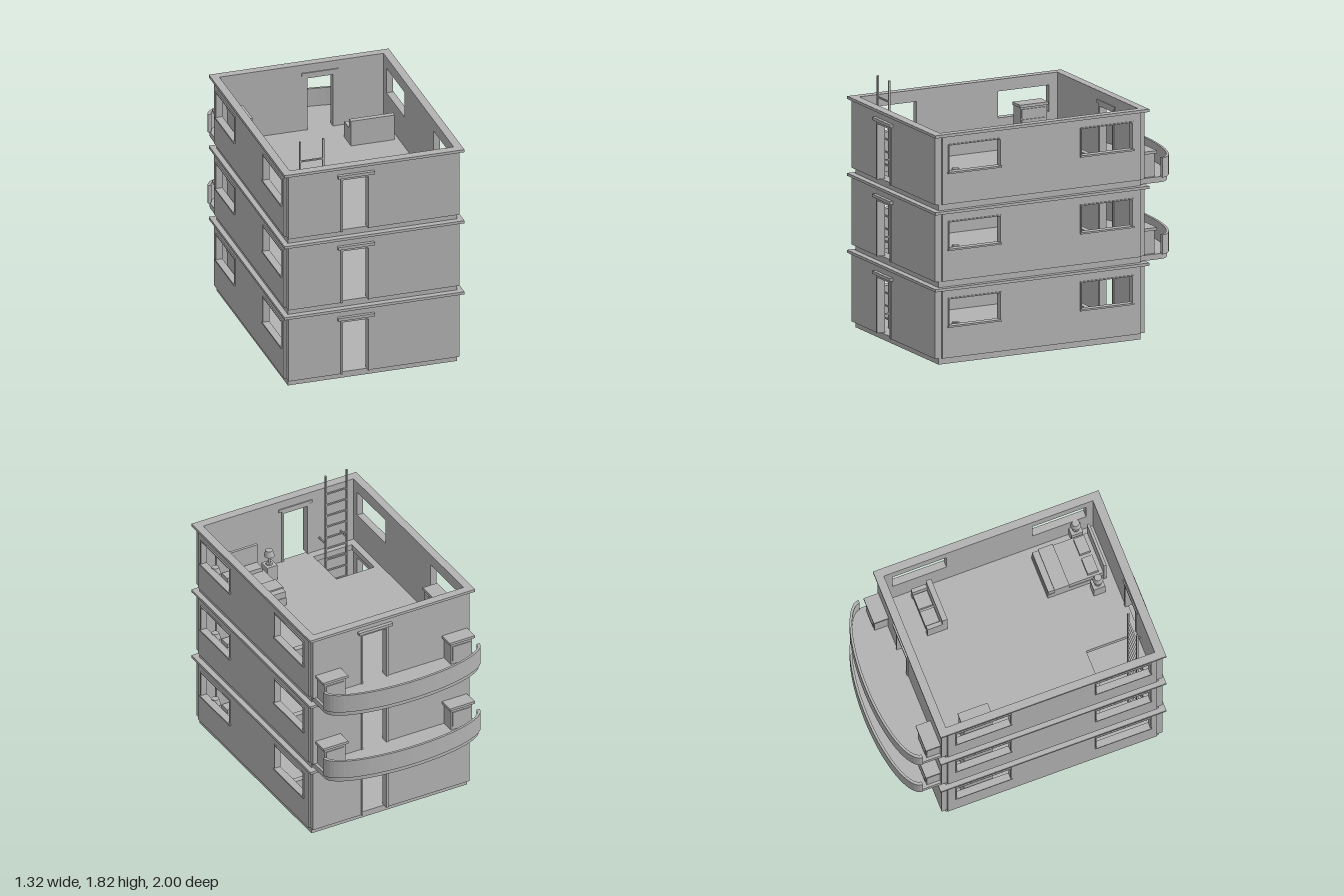
import * as THREE from 'three';

const grey = new THREE.MeshStandardMaterial({ color: 0xb3b3b3 });
grey.name = 'plain grey';

function add(parent, name, geometry) {
  const m = new THREE.Mesh(geometry, grey);
  m.name = name;
  parent.add(m);
  return m;
}

// Box given by its minimum and maximum on each axis
function box(parent, name, x0, x1, y0, y1, z0, z1) {
  const m = add(parent, name, new THREE.BoxGeometry(x1 - x0, y1 - y0, z1 - z0));
  m.position.set((x0 + x1) / 2, (y0 + y1) / 2, (z0 + z1) / 2);
  return m;
}

function group(parent, name) {
  const g = new THREE.Group();
  g.name = name;
  parent.add(g);
  return g;
}

function rect(T, x0, x1, y0, y1) {
  const p = new T();
  p.moveTo(x0, y0).lineTo(x1, y0).lineTo(x1, y1).lineTo(x0, y1).closePath();
  return p;
}

// Plate with rectangular holes, extruded along +z
function plate(outer, holes, depth) {
  const s = rect(THREE.Shape, ...outer);
  holes.forEach(h => s.holes.push(rect(THREE.Path, ...h)));
  return new THREE.ExtrudeGeometry(s, { depth, bevelEnabled: false });
}

const FLOOR = 0.045, TOP = 0.53, STOREY = 0.55;
const WINDOWS = [[0.475, 0.875], [-0.565, -0.165]];
const SILL = 0.275, HEAD = 0.465;

// Front or back wall with a doorway; the door sits at negative local x
function doorWall(parent, name, depth) {
  const g = group(parent, name);
  const s = new THREE.Shape();
  [[-0.625, FLOOR], [-0.23, FLOOR], [-0.23, 0.445], [-0.043, 0.445], [-0.043, FLOOR],
    [0.625, FLOOR], [0.625, TOP], [-0.625, TOP]].forEach((p, i) => i ? s.lineTo(...p) : s.moveTo(...p));
  s.closePath();
  add(g, 'wall', new THREE.ExtrudeGeometry(s, { depth, bevelEnabled: false }));
  box(g, 'doorJamb', -0.243, -0.23, FLOOR, 0.465, -0.006, depth + 0.008);
  box(g, 'doorJamb', -0.043, -0.024, FLOOR, 0.465, -0.006, depth + 0.008);
  box(g, 'doorHead', -0.23, -0.043, 0.445, 0.465, -0.006, depth + 0.008);
  box(g, 'lintel', -0.268, 0, 0.465, 0.487, -0.008, depth + 0.025);
  return g;
}

// Side wall with two windows; thickness runs outward along local +z
function sideWall(parent, side) {
  const g = group(parent, side > 0 ? 'leftWall' : 'rightWall');
  const spans = WINDOWS.map(([a, b]) => side > 0 ? [-b, -a] : [a, b]);
  const ends = side > 0 ? [-0.925, 0.63] : [-0.63, 0.925];
  const holes = spans.map(([a, b]) => [a, b, SILL, HEAD]);
  add(g, 'wall', plate([...ends, FLOOR, TOP], holes, 0.04));
  spans.forEach(([a, b]) => {
    const frame = add(g, 'windowFrame', plate(
      [a - 0.008, b + 0.008, SILL - 0.008, HEAD + 0.008], [[a, b, SILL, HEAD]], 0.008));
    frame.position.z = 0.04;
    box(g, 'windowSill', a - 0.01, b + 0.01, SILL - 0.012, SILL, 0.035, 0.053);
  });
  g.position.x = side * 0.6;
  g.rotation.y = side * Math.PI / 2;
}

function bed(parent) {
  const g = group(parent, 'bed');
  box(g, 'bedBase', 0.21, 0.53, 0, 0.06, 0.44, 0.86);
  box(g, 'mattress', 0.213, 0.527, 0.06, 0.11, 0.445, 0.855);
  box(g, 'blanket', 0.207, 0.533, 0.05, 0.12, 0.49, 0.6);
  box(g, 'headboard', 0.205, 0.535, 0, 0.26, 0.855, 0.875);
  for (const x of [0.23, 0.385]) box(g, 'pillow', x, x + 0.125, 0.11, 0.14, 0.745, 0.825);
}

function nightstand(parent, x) {
  const g = group(parent, 'nightstand');
  box(g, 'cabinet', x - 0.04, x + 0.04, 0, 0.12, 0.745, 0.83);
  const parts = [['lampFoot', 0.022, 0.025, 0.01, 0.125], ['lampStem', 0.009, 0.009, 0.07, 0.16],
    ['lampShade', 0.026, 0.038, 0.045, 0.2125]];
  for (const [name, r0, r1, h, y] of parts)
    add(g, name, new THREE.CylinderGeometry(r0, r1, h, 16)).position.set(x, y, 0.79);
}

function bookcase(parent) {
  const g = group(parent, 'bookcase');
  box(g, 'carcass', -0.59, -0.485, 0, 0.315, -0.49, -0.28);
  box(g, 'bookcaseTop', -0.592, -0.475, 0.315, 0.335, -0.495, -0.272);
  for (let i = 0; i < 4; i++) {
    const y = 0.012 + i * 0.075;
    box(g, 'drawerFront', -0.485, -0.477, y, y + 0.065, -0.482, -0.288);
  }
}

function sofa(parent) {
  const g = group(parent, 'sofa');
  box(g, 'sofaBase', 0.255, 0.565, 0.01, 0.07, -0.435, -0.295);
  box(g, 'sofaBack', 0.25, 0.57, 0, 0.19, -0.33, -0.29);
  for (const x of [0.25, 0.543]) box(g, 'armrest', x, x + 0.03, 0, 0.12, -0.44, -0.33);
  for (const x of [0.29, 0.422]) box(g, 'cushion', x, x + 0.112, 0.07, 0.095, -0.44, -0.335);
}

function ladder(parent) {
  const g = group(parent, 'ladder');
  for (const x of [-0.495, -0.325]) {
    box(g, 'ladderRail', x - 0.006, x + 0.006, 0, 0.67, 0.828, 0.842);
    box(g, 'wallBracket', x - 0.005, x + 0.005, 0.1, 0.11, 0.842, 0.925);
  }
  for (let y = 0.06; y < 0.55; y += 0.0915)
    box(g, 'rung', -0.49, -0.33, y - 0.005, y + 0.005, 0.829, 0.841);
}

// Half ellipse bulging towards the back, as x and -z
function arc(a, b, n = 32) {
  return Array.from({ length: n + 1 }, (_, i) => {
    const t = Math.PI * i / n;
    return new THREE.Vector2(a * Math.cos(t), 0.81 + b * Math.sin(t));
  });
}

function flat(parent, name, points, y0, y1) {
  const geo = new THREE.ExtrudeGeometry(new THREE.Shape(points), { depth: y1 - y0, bevelEnabled: false });
  const m = add(parent, name, geo.rotateX(-Math.PI / 2));
  m.position.y = y0;
}

function balcony(parent) {
  const g = group(parent, 'balcony');
  const V = (x, y) => new THREE.Vector2(x, y);
  flat(g, 'balconySlab', [V(0.61, 0.64), ...arc(0.61, 0.175), V(-0.61, 0.64)], 0.005, FLOOR);
  flat(g, 'parapet', [...arc(0.625, 0.19), ...arc(0.6, 0.172).reverse()], 0.04, 0.18);
  // Planter cabinets either side of the door
  for (const s of [-1, 1]) {
    const c = group(g, 'balconyCabinet');
    c.position.x = s * 0.505;
    box(c, 'cabinetBody', -0.085, 0.085, FLOOR, 0.215, -0.768, -0.67);
    box(c, 'cabinetTop', -0.1, 0.1, 0.213, 0.232, -0.78, -0.67);
    box(c, 'cabinetDoor', -0.07, 0.07, 0.07, 0.19, -0.774, -0.766);
  }
}

function storey(parent, level) {
  const g = group(parent, 'storey' + (level + 1));
  g.position.y = level * STOREY;

  // Floor slab, with a ladder hatch on the upper levels
  const hatch = level ? [[-0.555, -0.25, -0.87, -0.55]] : [];
  add(g, 'floorSlab', plate([-0.62, 0.62, -0.945, 0.64], hatch, FLOOR).rotateX(-Math.PI / 2));

  doorWall(g, 'frontWall', 0.05).position.z = 0.925;
  const back = doorWall(g, 'backWall', 0.04);
  back.rotation.y = Math.PI;
  back.position.z = -0.63;
  sideWall(g, 1);
  sideWall(g, -1);

  // Cornice ring
  const cornice = add(g, 'cornice',
    plate([-0.658, 0.658, -0.99, 0.69], [[-0.6, 0.6, -0.925, 0.63]], 0.02).rotateX(-Math.PI / 2));
  cornice.position.y = TOP;

  const room = group(g, 'furniture');
  room.position.y = FLOOR;
  bed(room);
  nightstand(room, 0.15);
  nightstand(room, 0.58);
  bookcase(room);
  sofa(room);
  ladder(room);
  if (level) balcony(g);
}

export function createModel() {
  const model = new THREE.Group();
  model.name = 'threeStoreyHouse';
  for (let level = 0; level < 3; level++) storey(model, level);
  return model;
}
